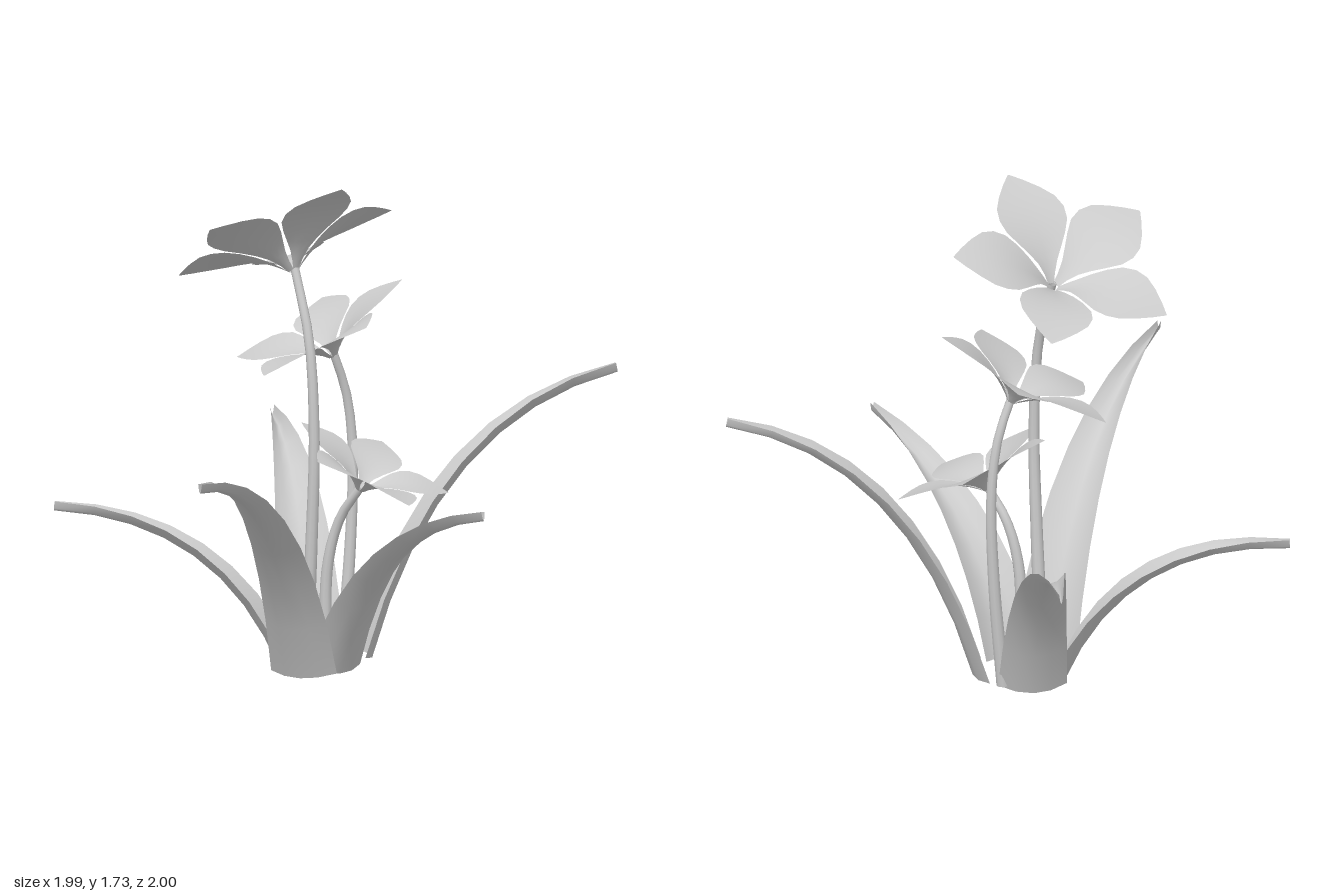
import * as THREE from 'three';

const material = new THREE.MeshStandardMaterial({ color: 0xcccccc, side: THREE.DoubleSide });
const V = (x, y, z) => new THREE.Vector3(x, y, z);
const UP = V(0, 1, 0);

// Bends a flat grid: place(s, t) gets s from -1 to 1 across and t from 0 to 1 along
function surface(across, along, place) {
  const geometry = new THREE.PlaneGeometry(1, 1, across, along);
  const { position, uv } = geometry.attributes;
  for (let i = 0; i < position.count; i++) {
    const p = place(uv.getX(i) * 2 - 1, uv.getY(i));
    position.setXYZ(i, p.x, p.y, p.z);
  }
  geometry.computeVertexNormals();
  return geometry;
}

function mesh(name, geometry) {
  const m = new THREE.Mesh(geometry, material);
  m.name = name;
  return m;
}

// Channelled leaf arching from base to tip; rise sets how level it ends
function leaf(base, tip, rise) {
  const reach = Math.hypot(tip.x - base.x, tip.z - base.z);
  const height = tip.y - base.y;
  const out = V(tip.x - base.x, 0, tip.z - base.z).normalize();
  const side = out.clone().cross(UP);
  const arc = new THREE.QuadraticBezierCurve(
    new THREE.Vector2(0, 0),
    new THREE.Vector2(reach * 0.27, height * rise),
    new THREE.Vector2(reach, height));
  return mesh('leaf', surface(4, 8, (s, t) => {
    const c = arc.getPoint(t);
    const tangent = arc.getTangent(t);
    const halfWidth = 0.112 * (1 - c.x / reach) + 0.007;
    const fold = (0.046 - 0.014 * t) * s * s;
    return base.clone()
      .addScaledVector(out, c.x - tangent.y * fold)
      .addScaledVector(UP, c.y + tangent.x * fold)
      .addScaledVector(side, s * halfWidth);
  }));
}

// Tapered round stem with a closed foot
function stem(points) {
  const curve = new THREE.CatmullRomCurve3(points);
  const rings = 14, sides = 10;
  const geometry = new THREE.TubeGeometry(curve, rings, 0.024, sides);
  const position = geometry.attributes.position;
  const p = V(0, 0, 0);
  for (let i = 0; i < position.count; i++) {
    const t = Math.floor(i / (sides + 1)) / rings;
    const centre = curve.getPointAt(t);
    p.fromBufferAttribute(position, i).sub(centre).multiplyScalar(1 - 0.38 * t).add(centre);
    position.setXYZ(i, p.x, p.y, p.z);
  }
  const group = new THREE.Group();
  group.name = 'stem';
  const foot = mesh('stemFoot', new THREE.CircleGeometry(0.024, sides));
  foot.position.copy(points[0]);
  foot.quaternion.setFromUnitVectors(V(0, 0, 1), curve.getTangentAt(0).negate());
  group.add(mesh('stemTube', geometry), foot);
  return group;
}

// Petal half width along its length: neighbours overlap beyond a small gap at the root
const outline = new THREE.SplineCurve([
  [0, 0.012], [0.11, 0.031], [0.25, 0.073], [0.43, 0.122],
  [0.63, 0.124], [0.83, 0.07], [1, 0.002],
].map(([x, y]) => new THREE.Vector2(x, y)));

// Petal rising steeply at its root and flaring flat towards its point
const petalGeometry = surface(4, 10, (s, t) => {
  const { x, y } = outline.getPoint(t);
  const lift = 0.137 * (1 - Math.pow(Math.max(0, 1 - x), 2.7));
  const cup = 0.02 * s * s * Math.sin(Math.PI * t) * (1 - t);
  return V(0.015 + 0.382 * x, lift + cup, -s * y);
});

// Five petals about an axis, the first one pointing towards "first"
function flower(centre, axis, first, size) {
  const group = new THREE.Group();
  group.name = 'flower';
  const y = axis.clone().normalize();
  const x = first.clone().addScaledVector(y, -first.dot(y)).normalize();
  const z = x.clone().cross(y);
  group.quaternion.setFromRotationMatrix(new THREE.Matrix4().makeBasis(x, y, z));
  group.position.copy(centre);
  group.scale.setScalar(size);
  for (let i = 0; i < 5; i++) {
    const petal = mesh('petal', petalGeometry);
    petal.rotation.y = (i * Math.PI * 2) / 5;
    group.add(petal);
  }
  return group;
}

export function createModel() {
  const model = new THREE.Group();
  model.name = 'floweringPlant';

  // Leaves
  model.add(
    leaf(V(0.03, 0.045, -0.23), V(0.4, 1.01, -1), 0.85),
    leaf(V(-0.155, 0.01, -0.1), V(-1, 0.73, -0.54), 0.96),
    leaf(V(0.16, 0.02, 0), V(0.985, 0.65, -0.02), 0.85),
    leaf(V(-0.09, 0, 0.07), V(-0.63, 0.545, 0.64), 0.96),
    leaf(V(0.115, 0.01, 0.135), V(0.74, 0.805, 1), 0.95));

  // Tall flower
  model.add(
    stem([V(0.1, 0.03, 0.1), V(0.135, 0.5, 0.1), V(0.15, 0.85, 0.1), V(0.12, 1.18, 0.1), V(0.035, 1.42, 0.1)]),
    flower(V(0.03, 1.41, 0.1), V(-0.49, 0.87, 0), V(1, 0, 0), 1.01));

  // Middle flower
  model.add(
    stem([V(-0.07, 0.03, -0.17), V(-0.075, 0.4, -0.21), V(-0.08, 0.75, -0.225), V(-0.083, 0.95, -0.2), V(-0.085, 1.085, -0.15)]),
    flower(V(-0.088, 1.078, -0.15), V(-0.16, 0.9, 0.45), V(0.085, 0.26, -0.2), 0.84));

  // Short flower
  model.add(
    stem([V(0.05, 0.03, -0.02), V(0.06, 0.38, -0.02), V(0.1, 0.55, -0.045), V(0.17, 0.655, -0.075)]),
    flower(V(0.165, 0.65, -0.08), V(0.42, 1, -0.27), V(1, 0, 0.03), 0.74));

  return model;
}
